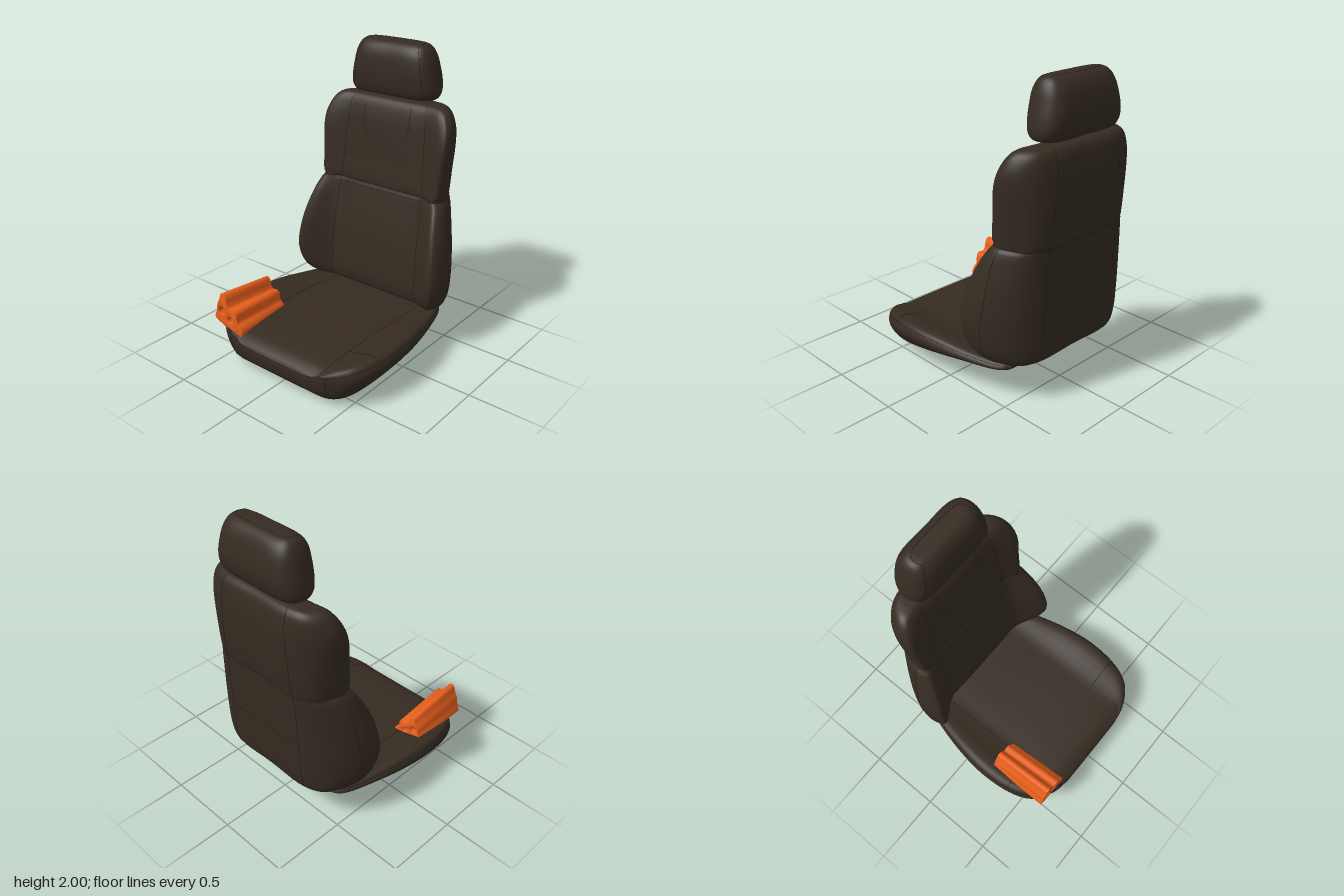
import * as THREE from 'three';
import { toCreasedNormals } from 'three/addons/utils/BufferGeometryUtils.js';

const V = (x, y, z) => new THREE.Vector3(x, y, z);

// Mirror a half section (x >= 0, first and last points on the centre line) into a ring
const mirror = half => [
  ...half,
  ...half.slice(1, -1).reverse().map(p => V(-p.x, p.y, p.z)),
];

// Smooth closed loft; at(s, k) gives the surface point at station s, ring point k
function loft(stations, ringDiv = 5, stationDiv = 5) {
  const n = stations[0].length, last = stations.length - 1;
  const cols = stations[0].map((_, k) => new THREE.CatmullRomCurve3(stations.map(r => r[k])));
  const ring = s => new THREE.CatmullRomCurve3(cols.map(c => c.getPoint(s / last)), true);
  const at = (s, k) => ring(s).getPoint((((k % n) + n) % n) / n);
  const N = n * ringDiv, M = last * stationDiv, pos = [], idx = [];
  for (let i = 0; i <= M; i++) {
    const r = ring(i / stationDiv);
    for (let j = 0; j < N; j++) pos.push(...r.getPoint(j / N).toArray());
  }
  for (let i = 0; i < M; i++) for (let j = 0; j < N; j++) {
    const a = i * N + j, b = i * N + (j + 1) % N;
    idx.push(a, b, a + N, b, b + N, a + N);
  }
  // End caps
  for (const i of [0, M]) {
    const c = V(0, 0, 0), centre = pos.length / 3;
    for (let j = 0; j < N; j++) c.add(V(...pos.slice((i * N + j) * 3, (i * N + j) * 3 + 3)));
    pos.push(...c.divideScalar(N).toArray());
    for (let j = 0; j < N; j++) {
      const a = i * N + j, b = i * N + (j + 1) % N;
      if (i) idx.push(a, b, centre); else idx.push(b, a, centre);
    }
  }
  const geometry = new THREE.BufferGeometry();
  geometry.setAttribute('position', new THREE.Float32BufferAttribute(pos, 3));
  geometry.setIndex(idx);
  geometry.computeVertexNormals();
  return { geometry, at, n };
}

export function createModel() {
  const model = new THREE.Group();
  const mat = (name, color) => Object.assign(new THREE.MeshStandardMaterial({ color }), { name });
  const upholstery = mat('dark brown upholstery', 0x352b21);
  const seamDark = mat('seam black', 0x1c1813);
  const orange = mat('orange plastic', 0xee611d);

  const add = (name, geometry, material) => {
    const mesh = new THREE.Mesh(geometry, material);
    mesh.name = name;
    model.add(mesh);
    return mesh;
  };
  // Piping that follows a loft through [station, ringPoint] pairs
  const seam = (name, body, pairs, radius = 0.002) => {
    const path = new THREE.CatmullRomCurve3(pairs.map(([s, k]) => body.at(s, k)));
    add(name, new THREE.TubeGeometry(path, pairs.length * 3, radius, 5), seamDark);
  };
  const run = (from, to, f, count = 24) =>
    Array.from({ length: count + 1 }, (_, i) => f(from + (to - from) * i / count));
  const bothSides = (name, body, pairs) => {
    seam(name, body, pairs);
    seam(name, body, pairs.map(([s, k]) => [s, body.n - k]));
  };

  // Seat cushion: z, half width, panel half width, centre top, bolster top, edge, bottom
  const cushion = loft([
    [0.69, 0.28, 0.23, 0.185, 0.185, 0.175, 0.15],
    [0.67, 0.39, 0.34, 0.212, 0.218, 0.19, 0.085],
    [0.62, 0.495, 0.36, 0.24, 0.255, 0.2, 0.035],
    [0.55, 0.565, 0.37, 0.255, 0.28, 0.215, 0.005],
    [0.42, 0.615, 0.37, 0.265, 0.297, 0.23, 0.015],
    [0.2, 0.635, 0.37, 0.27, 0.312, 0.24, 0.065],
    [0, 0.615, 0.37, 0.265, 0.305, 0.24, 0.115],
    [-0.2, 0.572, 0.37, 0.255, 0.285, 0.24, 0.16],
    [-0.4, 0.508, 0.36, 0.25, 0.268, 0.235, 0.193],
    [-0.46, 0.47, 0.34, 0.248, 0.262, 0.237, 0.205],
    [-0.485, 0.43, 0.31, 0.245, 0.252, 0.238, 0.225],
  ].map(([z, w, p, yc, yb, ye, y0]) => {
    const b = Math.min(0.38, w * 0.78);
    return mirror([
      V(0, yc, z), V(p * 0.6, yc, z), V(p, yc, z), V(w * 0.94, yb, z), V(w, ye, z),
      V(b + (w - b) * 0.6, y0 + (ye - y0) * 0.33, z), V(b, y0 + 0.008, z),
      V(b * 0.6, y0, z), V(0, y0, z),
    ]);
  }));
  add('seatCushion', cushion.geometry, upholstery);
  bothSides('cushionPanelSeam', cushion, run(0.8, 8.5, s => [s, 2]));
  bothSides('cushionEdgeSeam', cushion, run(1, 8.5, s => [s, 3.4]));
  bothSides('cushionCrossSeam', cushion, run(2, 3.4, k => [4.1, k], 8));
  bothSides('cushionBottomSeam', cushion, [
    [0.8, 2], [0.95, 3], [1.1, 4], [1.3, 5], [1.7, 5.8], ...run(2.5, 9, s => [s, 6]),
  ]);
  seam('cushionFrontSeam', cushion, [
    [1, -3.4], [0.5, -3], ...run(-2, 2, k => [0.1, k]), [0.5, 3], [1, 3.4],
  ]);

  // Backrest: height, half width, centre front, bolster front, back, panel half width
  const backrest = loft([
    [0.262, 0.44, -0.38, -0.37, -0.57, 0.33],
    [0.285, 0.51, -0.33, -0.3, -0.605, 0.35],
    [0.36, 0.57, -0.31, -0.225, -0.623, 0.355],
    [0.5, 0.596, -0.315, -0.183, -0.633, 0.355],
    [0.7, 0.582, -0.335, -0.21, -0.642, 0.35],
    [0.9, 0.537, -0.37, -0.285, -0.65, 0.345],
    [1.0, 0.502, -0.39, -0.343, -0.655, 0.34],
    [1.03, 0.48, -0.4, -0.36, -0.656, 0.34],
    [1.06, 0.483, -0.4, -0.36, -0.664, 0.335],
    [1.2, 0.492, -0.415, -0.374, -0.677, 0.325],
    [1.4, 0.505, -0.435, -0.395, -0.684, 0.315],
    [1.5, 0.493, -0.45, -0.425, -0.68, 0.305],
    [1.58, 0.452, -0.475, -0.465, -0.663, 0.3],
    [1.61, 0.41, -0.5, -0.495, -0.64, 0.29],
    [1.62, 0.35, -0.53, -0.53, -0.615, 0.27],
  ].map(([y, w, zc, zb, z1, p]) => {
    const d = zb - z1, crest = y > 1.03 ? 0.955 : 0.93;
    return mirror([
      V(0, y, zc), V(p * 0.6, y, zc), V(p, y, zc), V(w * crest, y, zb), V(w, y, zb - d * 0.21),
      V(w * 0.95, y, zb - d * 0.54), V(p + (w - p) * 0.5, y, z1 + d * 0.17),
      V(p * 0.88, y, z1), V(0, y, z1),
    ]);
  }));
  add('backrest', backrest.geometry, upholstery);
  bothSides('backrestPanelSeam', backrest, run(0.8, 13.5, s => [s, 2]));
  bothSides('backrestSideSeam', backrest, [
    [0.8, 4.3], [1.5, 4.42], [2, 4.5], [3, 4.65], [4, 4.67], [5, 4.45], [6, 4.25], [6.8, 4.1],
  ]);
  bothSides('backrestRearSeam', backrest, run(0.8, 13.5, s => [s, 7]));
  seam('waistSeam', backrest, run(0, backrest.n, k => [7, k], 64), 0.0035);
  seam('lumbarSeam', backrest, run(-2, 2, k => [6, k]));
  seam('rearPocketSeam', backrest, run(7, 9, k => [3.7, k]));
  seam('upperPanelSeam', backrest, [
    [13.2, -1], [12, -1], [11, -1], [10.2, -0.95], [9.9, -0.75], [9.85, 0],
    [9.9, 0.75], [10.2, 0.95], [11, 1], [12, 1], [13.2, 1],
  ]);

  // Headrest: height, half width, front, back
  const headrest = loft([
    [1.64, 0.27, -0.49, -0.63],
    [1.65, 0.31, -0.462, -0.655],
    [1.69, 0.329, -0.442, -0.679],
    [1.76, 0.324, -0.431, -0.694],
    [1.84, 0.307, -0.43, -0.69],
    [1.92, 0.287, -0.44, -0.671],
    [1.97, 0.262, -0.463, -0.645],
    [1.993, 0.235, -0.49, -0.618],
    [2.0, 0.19, -0.52, -0.597],
  ].map(([y, w, z0, z1]) => {
    const d = z0 - z1;
    return mirror([
      V(0, y, z0), V(w * 0.7, y, z0 - 0.004), V(w * 0.92, y, z0 - d * 0.16), V(w, y, z0 - d * 0.46),
      V(w * 0.94, y, z0 - d * 0.8), V(w * 0.74, y, z1 + 0.006), V(0, y, z1),
    ]);
  }));
  add('headrest', headrest.geometry, upholstery);
  // Seam up both sides of the face and across the top
  const faceSeam = [...run(0.5, 6.5, s => [s, 1.5]), [7, 2], [7.4, 3], [7.7, 4], [7.9, 5], [7.95, 5.5]];
  seam('headrestSeam', headrest, [
    ...faceSeam, ...faceSeam.map(([s, k]) => [s, headrest.n - k]).reverse(),
  ]);

  // Headrest posts
  for (const x of [-0.135, 0.135]) {
    add('headrestPost', new THREE.CylinderGeometry(0.01, 0.01, 0.12, 12), seamDark)
      .position.set(x, 1.63, -0.57);
  }

  // Orange double-barrelled block lying on the right bolster
  const outline = new THREE.Shape(new THREE.CatmullRomCurve3([
    [-0.55, 0.3], [-0.535, 0.282], [-0.5, 0.268], [-0.45, 0.25], [-0.39, 0.243], [-0.345, 0.225],
    [-0.312, 0.226], [-0.302, 0.255], [-0.314, 0.287], [-0.342, 0.315], [-0.346, 0.345],
    [-0.352, 0.38], [-0.372, 0.397], [-0.415, 0.393], [-0.432, 0.42], [-0.442, 0.465],
    [-0.462, 0.488], [-0.485, 0.485], [-0.503, 0.44], [-0.525, 0.395], [-0.532, 0.35],
  ].map(([x, y]) => V(x, y, 0)), true).getPoints(80).slice(0, -1).map(p => new THREE.Vector2(p.x, p.y)));
  for (const [x, y, r] of [[-0.484, 0.36, 0.031], [-0.408, 0.315, 0.024]]) {
    outline.holes.push(new THREE.Path().absarc(x, y, r, 0, Math.PI * 2, true));
  }
  const block = new THREE.ExtrudeGeometry(outline, {
    depth: 0.42, bevelThickness: 0.005, bevelSize: 0.004, bevelOffset: -0.004, bevelSegments: 2,
    curveSegments: 20,
  });
  block.translate(0, 0, 0.235);
  // Taper toward the rear
  const p = block.attributes.position;
  for (let i = 0; i < p.count; i++) {
    const t = (0.66 - p.getZ(i)) / 0.43;
    p.setXY(i, -0.55 + (p.getX(i) + 0.55) * (1 - 0.1 * t), 0.25 + (p.getY(i) - 0.25) * (1 - 0.2 * t));
  }
  add('orangeBlock', toCreasedNormals(block, 0.6), orange);

  return model;
}
